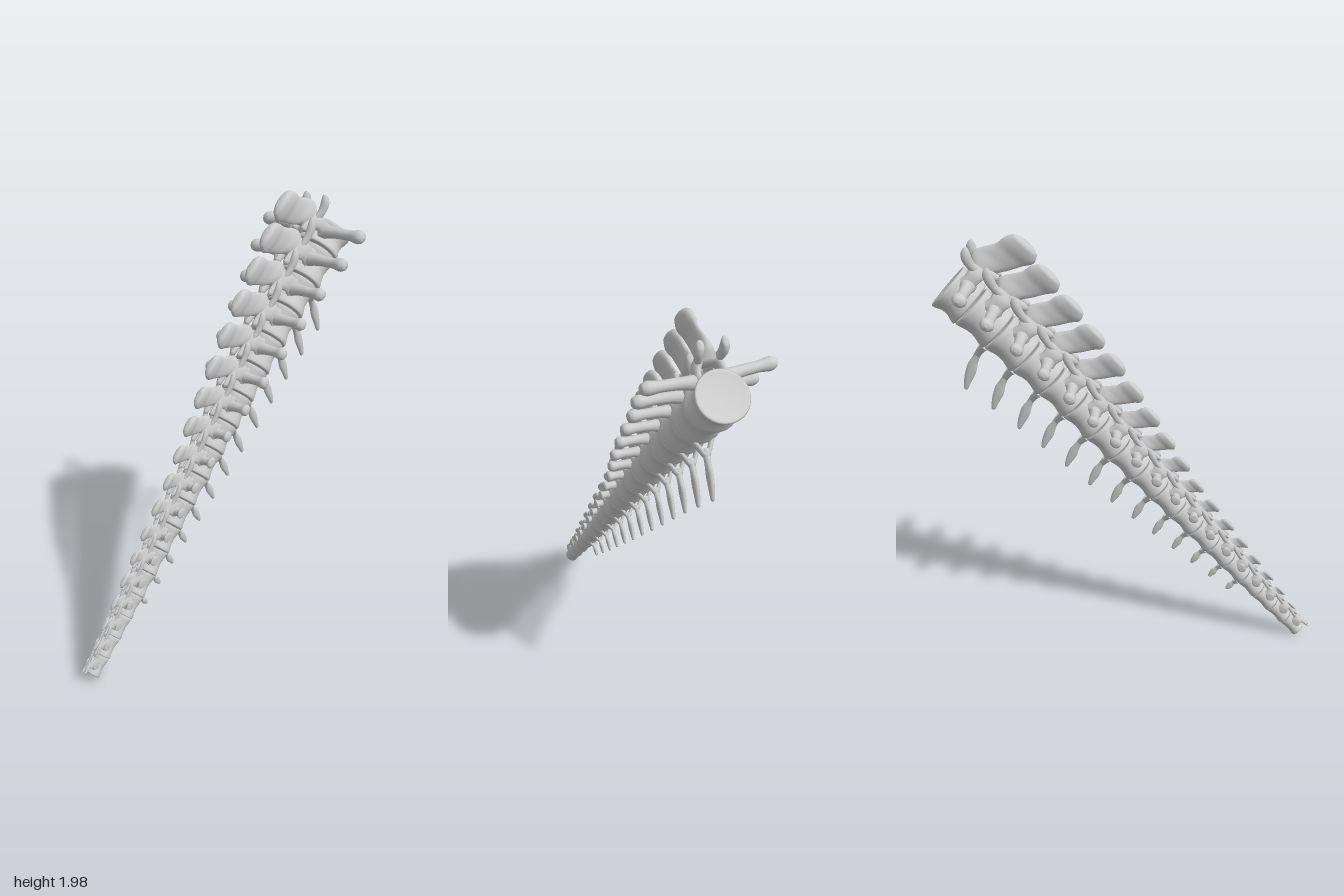
import * as THREE from 'three';

const material = new THREE.MeshStandardMaterial({ color: 0xcccccc, side: THREE.DoubleSide });
const COUNT = 18;

// Closed smooth solid from a few elliptical sections [x, y, z, halfU, halfV],
// stacked along the local axis W. (U, V): x -> (y, z), y -> (z, x), z -> (x, y).
function loft(name, axis, sections, sides = 16, steps = 18) {
  const w = 'xyz'.indexOf(axis), u = (w + 1) % 3, v = (w + 2) % 3;
  const first = sections[0], last = sections[sections.length - 1];
  const flip = last[w] < first[w];
  const path = new THREE.CatmullRomCurve3(sections.map(s => new THREE.Vector3(s[0], s[1], s[2])));
  const size = new THREE.CatmullRomCurve3(sections.map(s => new THREE.Vector3(s[3], s[4], 0)));
  const pos = [], index = [];
  const tri = (a, b, c) => (flip ? index.push(a, c, b) : index.push(a, b, c));
  for (let i = 0; i <= steps; i++) {
    const p = path.getPoint(i / steps), s = size.getPoint(i / steps);
    for (let j = 0; j < sides; j++) {
      const a = (j / sides) * Math.PI * 2, q = p.toArray();
      q[u] += Math.max(s.x, 0.0005) * Math.cos(a);
      q[v] += Math.max(s.y, 0.0005) * Math.sin(a);
      pos.push(...q);
      if (i < steps) {
        const b = i * sides + j, c = i * sides + ((j + 1) % sides);
        tri(b, c, b + sides);
        tri(c, c + sides, b + sides);
      }
    }
  }
  // end caps
  const n = pos.length / 3;
  pos.push(...first.slice(0, 3), ...last.slice(0, 3));
  for (let j = 0; j < sides; j++) {
    const k = (j + 1) % sides, top = steps * sides;
    tri(n, k, j);
    tri(n + 1, top + j, top + k);
  }
  const geometry = new THREE.BufferGeometry();
  geometry.setAttribute('position', new THREE.Float32BufferAttribute(pos, 3));
  geometry.setIndex(index);
  geometry.computeVertexNormals();
  const mesh = new THREE.Mesh(geometry, material);
  mesh.name = name;
  return mesh;
}

// Piecewise linear lookup in a short table of [position, value]
function lookup(table, x) {
  for (let i = 1; i < table.length; i++) {
    const [x0, y0] = table[i - 1], [x1, y1] = table[i];
    if (x <= x1) return y0 + ((y1 - y0) * Math.max(0, x - x0)) / (x1 - x0);
  }
  return table[table.length - 1][1];
}
const spineHeight = [[0, 0.4], [4, 0.305], [9, 0.17], [15, 0.092], [17, 0.06]];
const processReach = [[0, 0.3], [1, 0.285], [2, 0.25], [4, 0.207], [5, 0.185], [7, 0.125], [9, 0.085], [12, 0.055], [17, 0.026]];

// Spool-shaped body with shallow hollow ends
function centrum(r, len) {
  const h = len * 0.48;
  const profile = [
    [0, -h * 0.82], [r * 0.55, -h * 0.86], [r * 0.86, -h * 0.97], [r * 0.95, -h], [r, -h * 0.92],
    [r * 0.97, -h * 0.7], [r * 0.88, -h * 0.3], [r * 0.86, 0], [r * 0.88, h * 0.3], [r * 0.97, h * 0.7],
    [r, h * 0.92], [r * 0.95, h], [r * 0.86, h * 0.97], [r * 0.55, h * 0.86], [0, h * 0.82],
  ].map(p => new THREE.Vector2(...p));
  const mesh = new THREE.Mesh(new THREE.LatheGeometry(profile, 36).rotateZ(-Math.PI / 2), material);
  mesh.scale.z = 1.05;
  mesh.name = 'centrum';
  return mesh;
}

// One vertebra: local x points toward the thick end, y is dorsal
function vertebra(i, r, len) {
  const g = new THREE.Group();
  g.name = 'vertebra' + (i + 1);
  g.add(centrum(r, len));

  // tall blade with a swollen, backward-leaning tip
  const H = lookup(spineHeight, i), k = 0.15 + (0.85 * H) / 0.4, base = 1.3 * r;
  const at = f => base + (H - base) * f;
  g.add(loft('neuralSpine', 'y', [
    [0, base, 0, 0.4 * r, 0.3 * len],
    [0.01 * k, at(0.2), 0, 0.034 * k, 0.07 * k],
    [-0.015 * k, at(0.4), 0, 0.019 * k, 0.078 * k],
    [-0.045 * k, at(0.6), 0, 0.017 * k, 0.076 * k],
    [-0.065 * k, at(0.78), 0, 0.026 * k, 0.086 * k],
    [-0.068 * k, at(0.93), 0, 0.028 * k, 0.07 * k],
    [-0.066 * k, at(0.99), 0, 0.016 * k, 0.04 * k],
    [-0.066 * k, H, 0, 0, 0],
  ], 18, 28));

  const Z = lookup(processReach, i), t = 0.014 + 0.016 * (r / 0.115);
  for (const s of [1, -1]) {
    // side wall of the neural arch
    g.add(loft('pedicle', 'y', [
      [0.05 * len, 0.6 * r, s * 0.5 * r, 0.2 * r, 0.34 * len],
      [0.05 * len, 1.05 * r, s * 0.5 * r, 0.15 * r, 0.25 * len],
      [0.04 * len, 1.4 * r, s * 0.36 * r, 0.2 * r, 0.3 * len],
      [0.02 * len, 1.75 * r, s * 0.14 * r, 0.1 * r, 0.25 * len],
    ], 12, 10));
    // forward and rear articulating prongs
    g.add(loft('frontJoint', 'x', [
      [0.05 * len, 1.4 * r, s * 0.32 * r, 0.16 * r, 0.14 * r],
      [0.4 * len, 1.5 * r, s * 0.45 * r, 0.19 * r, 0.15 * r],
      [0.68 * len, 1.66 * r, s * 0.5 * r, 0.25 * r, 0.17 * r],
      [0.86 * len, 1.78 * r, s * 0.48 * r, 0.2 * r, 0.13 * r],
      [0.92 * len, 1.82 * r, s * 0.48 * r, 0, 0],
    ], 12, 14));
    g.add(loft('rearJoint', 'x', [
      [0, 1.5 * r, s * 0.24 * r, 0.18 * r, 0.16 * r],
      [-0.35 * len, 1.62 * r, s * 0.24 * r, 0.2 * r, 0.15 * r],
      [-0.55 * len, 1.68 * r, s * 0.24 * r, 0.16 * r, 0.13 * r],
      [-0.64 * len, 1.7 * r, s * 0.24 * r, 0, 0],
    ], 12, 12));
    // sideways rod with a rounded knob, shrinking to a bump toward the tip
    const root = 0.4 * r, out = f => s * (root + (Z - root) * f);
    if (Z > root) g.add(loft('transverseProcess', 'z', [
      [0, 0.75 * r, s * root, t * 1.3, t * 1.2],
      [0, 0.86 * r, out(0.35), t * 0.92, t * 0.85],
      [0, 0.9 * r, out(0.65), t * 0.85, t * 0.8],
      [0, 0.92 * r, out(0.87), t * 1.15, t],
      [0, 0.92 * r, out(0.97), t * 0.8, t * 0.7],
      [0, 0.92 * r, out(1), 0, 0],
    ], 14, 22));
  }
  return g;
}

// Y-shaped bone hanging below a joint
function chevron(k, r) {
  const g = new THREE.Group();
  g.name = 'chevron' + (k - 1);
  const D = 0.33 - 0.018 * (k - 2), lean = -0.08 * ((D - 0.1) / 0.23), m = 0.35 + (0.65 * D) / 0.33;
  const top = 1.25 * r, at = f => -(top + (D - top) * f);
  g.add(loft('chevronShaft', 'y', [
    [0, at(0), 0, 0.016 * m, 0.016 * m],
    [lean * 0.2, at(0.25), 0, 0.014 * m, 0.017 * m],
    [lean * 0.45, at(0.5), 0, 0.014 * m, 0.027 * m],
    [lean * 0.75, at(0.78), 0, 0.012 * m, 0.02 * m],
    [lean, at(0.97), 0, 0.008 * m, 0.011 * m],
    [lean, at(1), 0, 0, 0],
  ], 12, 18));
  for (const s of [1, -1]) {
    g.add(loft('chevronLimb', 'y', [
      [0, -0.85 * r, s * 0.42 * r, 0.014 * m, 0.022 * m],
      [0, -1.08 * r, s * 0.3 * r, 0.012 * m, 0.018 * m],
      [lean * 0.1, at(0.15), s * 0.04 * r, 0.012 * m, 0.015 * m],
    ], 10, 8));
  }
  return g;
}

export function createModel() {
  const model = new THREE.Group();
  model.name = 'tailSkeleton';
  // line through the centres of the vertebrae, thick end first
  const axis = new THREE.CatmullRomCurve3([
    [0.8, 1.75], [0.7, 1.66], [0.335, 1.3], [0.04, 0.98], [-0.3, 0.61], [-0.63, 0.25], [-0.84, 0.03],
  ].map(([x, y]) => new THREE.Vector3(x, y, 0)));
  const total = axis.getLength();

  const lengths = Array.from({ length: COUNT }, (_, i) => (i === 0 ? 0.135 : 0.172 - 0.0048 * (i - 1)));
  const fit = total / lengths.reduce((a, b) => a + b, 0);
  const radius = u => 0.115 - 0.105 * u + 0.022 * u * u;
  const place = (part, u) => {
    const d = axis.getTangentAt(u).negate();
    part.position.copy(axis.getPointAt(u));
    part.rotation.z = Math.atan2(d.y, d.x);
    model.add(part);
  };

  let s = 0;
  lengths.forEach((l, i) => {
    const len = l * fit;
    if (i >= 2 && i <= 14) place(chevron(i, radius(s / total)), s / total);
    const mid = (s + len / 2) / total;
    place(vertebra(i, radius(mid), len), mid);
    s += len;
  });
  return model;
}
